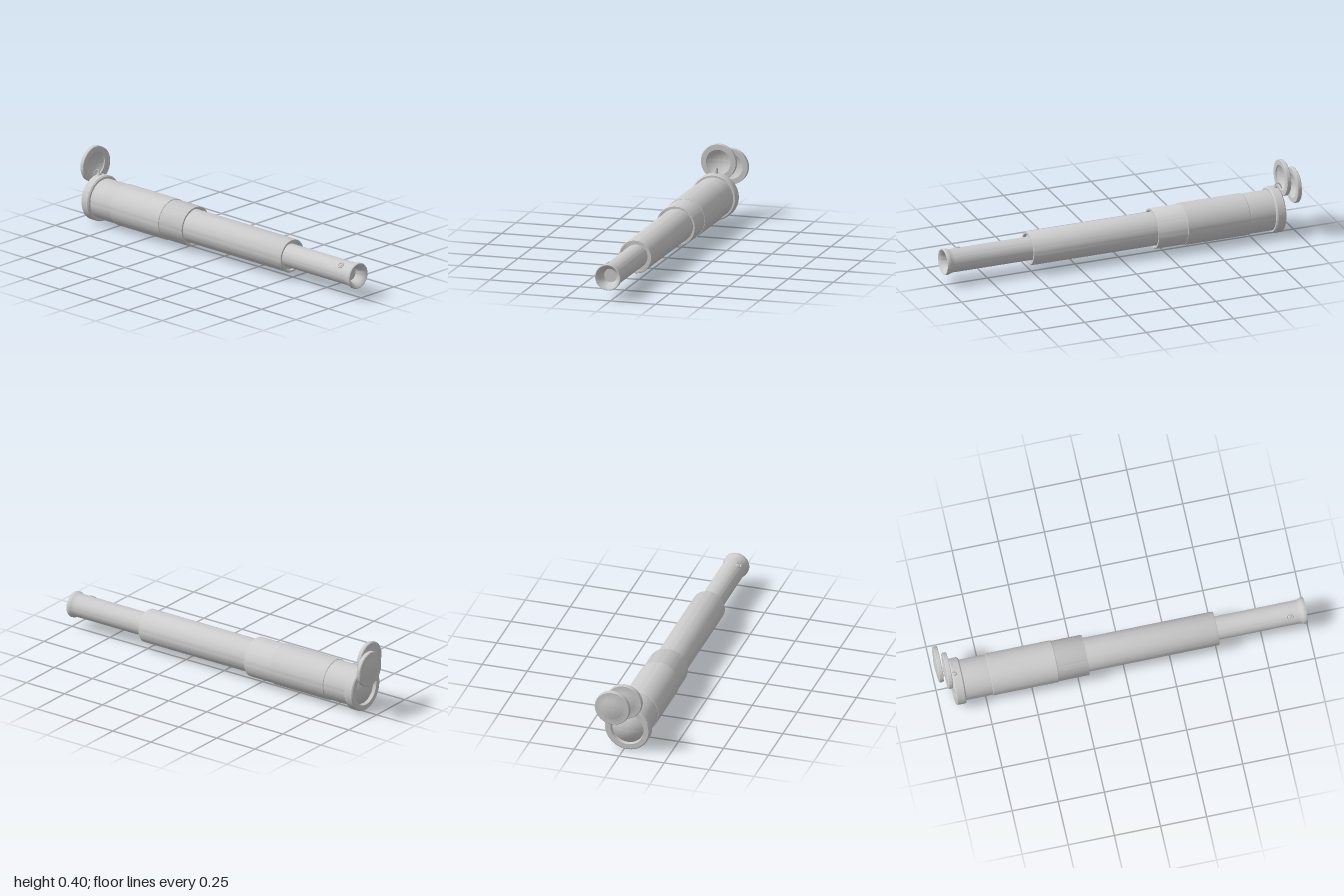
import * as THREE from 'three';
import { toCreasedNormals } from 'three/addons/utils/BufferGeometryUtils.js';

const AXIS_Y = 0.127, AXIS_Z = 0.017;
const material = new THREE.MeshStandardMaterial({ color: 0xcccccc, side: THREE.DoubleSide });

function addMesh(parent, name, geometry) {
  const mesh = new THREE.Mesh(geometry, material);
  mesh.name = name;
  parent.add(mesh);
  return mesh;
}

// Turns a profile of [x, radius] pairs around the x axis
function turned(parent, name, profile, y = AXIS_Y, z = AXIS_Z) {
  const points = profile.map(([x, r]) => new THREE.Vector2(r, x));
  const geometry = toCreasedNormals(new THREE.LatheGeometry(points, 72), 0.5);
  geometry.rotateZ(-Math.PI / 2);
  const mesh = addMesh(parent, name, geometry);
  mesh.position.set(0, y, z);
  return mesh;
}

// Shallow dome from its centre at x0 out to radius r at x1
function dome(x0, x1, r, steps = 8) {
  return Array.from({ length: steps + 1 }, (_, i) => {
    const t = i / steps;
    return [x0 + (x1 - x0) * t * t, r * t];
  });
}

// Swinging lens cover: flat ring, domed outside, hollow inside
function lensCover(parent, name, x, y, z, r) {
  const back = x - 0.024;
  return turned(parent, name, [
    ...dome(back - 0.009, back, 0.066),
    [back, r - 0.004], [back + 0.004, r], [x - 0.003, r], [x, r - 0.002],
    [x, 0.068], [x - 0.006, 0.067],
    ...dome(back - 0.004, x - 0.006, 0.067).reverse(),
  ], y, z);
}

export function createModel() {
  const group = new THREE.Group();
  group.name = 'spyglass';

  // Objective end: collar and bulging lens
  turned(group, 'objectiveCollar', [
    [-0.9, 0.088], [-0.918, 0.092], [-0.918, 0.119], [-0.912, 0.125],
    [-0.87, 0.125], [-0.863, 0.119], [-0.863, 0.107],
  ]);
  turned(group, 'objectiveLens', dome(-0.931, -0.898, 0.09));

  // Three drawn tubes, each with a recessed lip
  turned(group, 'mainTube', [
    [-0.87, 0.109], [-0.199, 0.109], [-0.195, 0.107],
    [-0.195, 0.098], [-0.215, 0.098], [-0.215, 0.09],
  ]);
  turned(group, 'gripSleeve', [
    [-0.718, 0.108], [-0.718, 0.111], [-0.715, 0.113],
    [-0.363, 0.113], [-0.36, 0.111], [-0.36, 0.108],
  ]);
  turned(group, 'middleTube', [
    [-0.23, 0.091], [0.507, 0.091], [0.513, 0.088],
    [0.513, 0.079], [0.495, 0.079], [0.495, 0.062],
  ]);
  turned(group, 'eyepieceTube', [
    [0.48, 0.063], [0.95, 0.063], [0.965, 0.065], [0.975, 0.069], [0.98, 0.071],
    [0.994, 0.071], [0.998, 0.069], [0.998, 0.066], [0.994, 0.059], [0.985, 0.051],
    [0.972, 0.044], [0.956, 0.039], [0.94, 0.037], [0.94, 0],
  ]);

  // Small round button on the eyepiece tube
  const button = new THREE.Group();
  button.name = 'eyepieceButton';
  button.position.set(0.905, AXIS_Y, AXIS_Z);
  button.rotation.x = 0.67;
  group.add(button);
  const ring = addMesh(button, 'buttonRing', new THREE.TorusGeometry(0.015, 0.004, 10, 28));
  ring.rotation.x = Math.PI / 2;
  ring.position.y = 0.063;
  const stud = addMesh(button, 'buttonStud', new THREE.SphereGeometry(0.01, 20, 12));
  stud.scale.y = 0.6;
  stud.position.y = 0.062;

  // Pair of covers swung up and aside
  lensCover(group, 'innerCover', -0.93, 0.304, 0.012, 0.098);
  lensCover(group, 'outerCover', -0.969, 0.277, -0.043, 0.097);

  // Hinge: stud on the collar, curved wire and pivot pin
  const base = addMesh(group, 'hingeBase', new THREE.CylinderGeometry(0.01, 0.013, 0.014, 24));
  base.position.set(-0.902, 0.254, AXIS_Z);
  const wire = new THREE.CatmullRomCurve3([
    [-0.902, 0.255], [-0.901, 0.267], [-0.91, 0.276], [-0.921, 0.273], [-0.932, 0.258], [-0.94, 0.235],
  ].map(([x, y]) => new THREE.Vector3(x, y, AXIS_Z)));
  addMesh(group, 'hingeWire', new THREE.TubeGeometry(wire, 24, 0.003, 8));
  const pin = addMesh(group, 'pivotPin', new THREE.CylinderGeometry(0.008, 0.008, 0.056, 20));
  pin.rotation.z = Math.PI / 2;
  pin.position.set(-0.961, 0.218, 0.0);
  return group;
}
